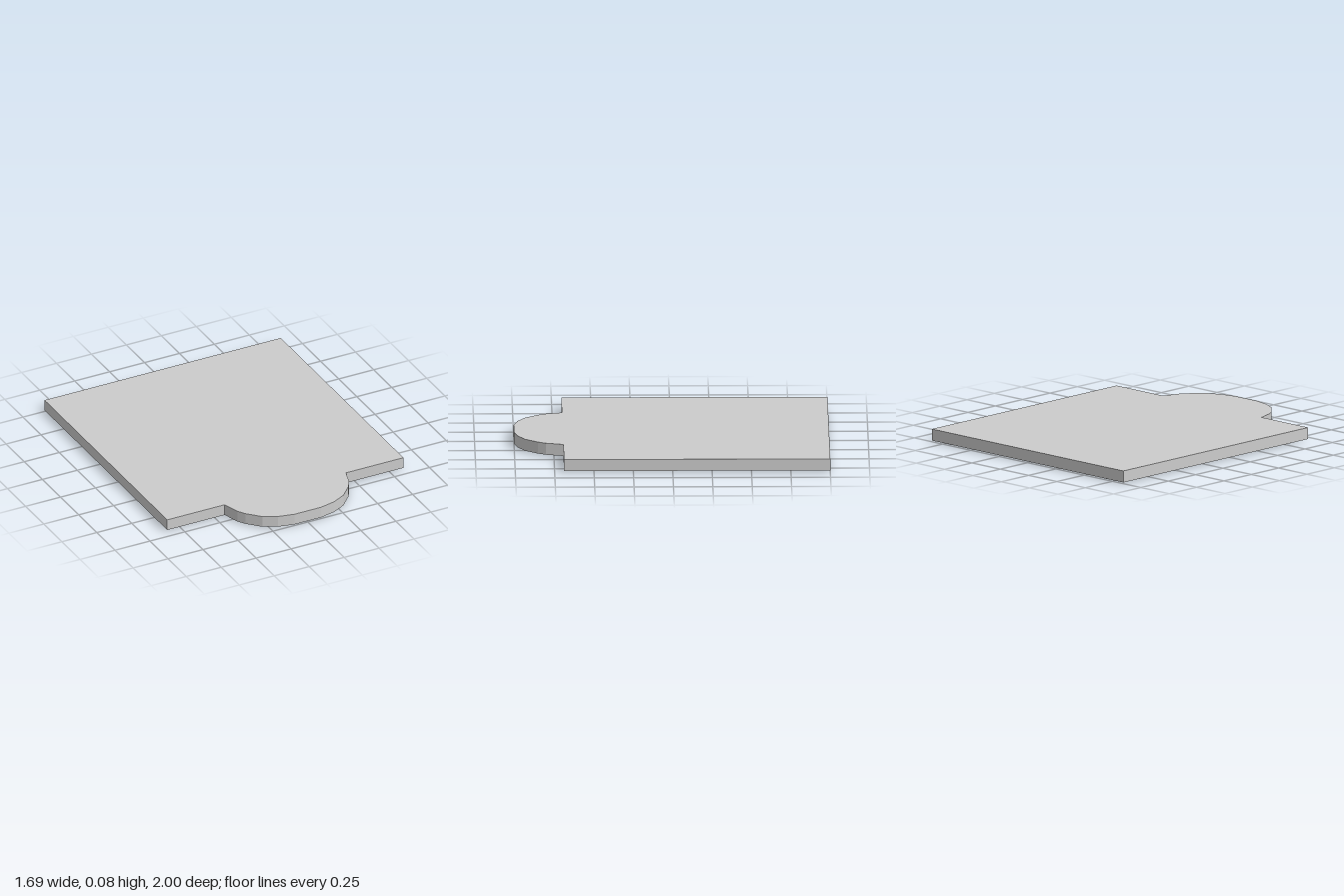
import * as THREE from 'three';

const TOP = 0.083, BASE = 0.008, CENTRE_Z = -0.155;

export function createModel() {
  const model = new THREE.Group();
  const material = new THREE.MeshStandardMaterial({ color: 0xcccccc });

  // Extrudes a plan outline (x, z) between two heights
  function slab(name, shape, y0, y1, x = 0, z = 0, curveSegments = 32) {
    const geometry = new THREE.ExtrudeGeometry(shape, { depth: y1 - y0, bevelEnabled: false, curveSegments });
    geometry.rotateX(Math.PI / 2); // outline y becomes z, depth runs down
    const mesh = new THREE.Mesh(geometry, material);
    mesh.name = name;
    mesh.position.set(x, y1, z);
    model.add(mesh);
  }

  function disc(radius, hole = 0) {
    const shape = new THREE.Shape().absarc(0, 0, radius, 0, Math.PI * 2);
    if (hole) shape.holes.push(new THREE.Path().absarc(0, 0, hole, 0, Math.PI * 2, true));
    return shape;
  }

  // Square plate with the rounded tab on its front edge, mirrored about x = 0
  const half = [[0.095, 0.997], [0.2, 0.977], [0.29, 0.932], [0.368, 0.85], [0.4, 0.8], [0.434, 0.69], [0.845, 0.69], [0.845, -1]];
  const outline = [...half, ...half.map(([x, z]) => [-x, z]).reverse()];
  outline[0][1] = outline[outline.length - 1][1] = 1;
  slab('plate', new THREE.Shape(outline.map(([x, z]) => new THREE.Vector2(x, z))), BASE, TOP);

  // Round pad under the tab
  slab('tabPad', disc(0.425), 0.005, BASE + 0.001, 0, 0.56);

  // Four round feet near the corners
  for (const x of [-0.69, 0.69]) {
    for (const z of [-0.69, 0.69]) slab('cornerFoot', disc(0.145), 0.004, BASE + 0.001, x, CENTRE_Z + z);
  }

  // Concentric raised rings under the plate
  for (const [outer, inner] of [[0.778, 0.75], [0.605, 0.578], [0.455, 0.428], [0.335, 0.31], [0.265, 0.24]]) {
    slab('baseRing', disc(outer, inner), 0, BASE + 0.001, 0, CENTRE_Z, 48);
  }
  return model;
}
